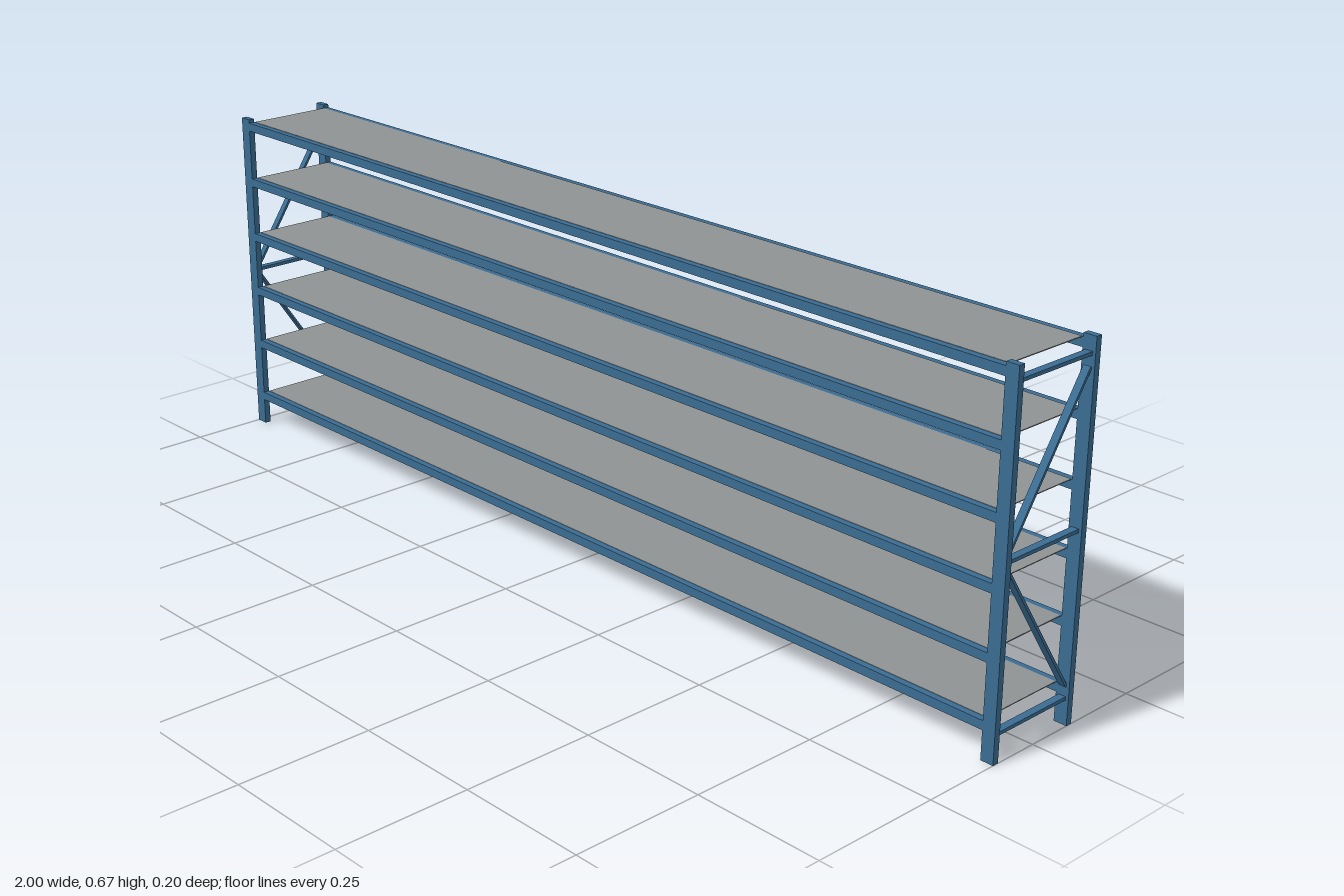
import * as THREE from 'three';

export function createModel() {
  const rack = new THREE.Group();
  rack.name = 'shelvingRack';
  const blue = new THREE.MeshStandardMaterial({ color: 0x3a6c92 });
  blue.name = 'blue steel';
  const grey = new THREE.MeshStandardMaterial({ color: 0x8e9293 });
  grey.name = 'grey shelf';

  const H = 0.667, POST = 0.0125, POST_X = 0.025;
  const POST_Z = 0.1 - POST / 2, INNER = 0.1 - POST;

  function box(parent, name, size, pos, material = blue) {
    const mesh = new THREE.Mesh(new THREE.BoxGeometry(...size), material);
    mesh.name = name;
    mesh.position.set(...pos);
    parent.add(mesh);
    return mesh;
  }

  // Slanted brace between the two posts of an end frame
  function brace(parent, x, yFront, yBack) {
    const dy = yFront - yBack, dz = 2 * INNER;
    const mesh = box(parent, 'diagonalBrace', [0.014, 0.005, Math.hypot(dy, dz)],
      [x, (yFront + yBack) / 2, 0]);
    mesh.rotation.x = -Math.atan2(dy, dz);
  }

  // End frames: two posts, three crossbars, two diagonals
  for (const side of [-1, 1]) {
    const frame = new THREE.Group();
    frame.name = side > 0 ? 'leftEndFrame' : 'rightEndFrame';
    const x = side * (1 - POST_X / 2);
    for (const s of [-1, 1]) {
      box(frame, s > 0 ? 'frontPost' : 'backPost', [POST_X, H, POST], [x, H / 2, s * POST_Z]);
    }
    for (const y of [0.048, 0.343, 0.638]) {
      box(frame, 'crossbar', [0.014, 0.0065, 2 * INNER], [x, y, 0]);
    }
    brace(frame, x, 0.354, 0.616);
    brace(frame, x, 0.332, 0.07);
    rack.add(frame);
  }

  // Shelf levels: a thin panel held between front and back beams
  const span = 2 * (1 - POST_X), beamH = 0.0167;
  for (let i = 0; i < 6; i++) {
    const level = new THREE.Group();
    level.name = 'shelfLevel' + (i + 1);
    const y = 0.07 + i * 0.118;
    box(level, 'shelfPanel', [span - 0.004, 0.0016, 2 * INNER], [0, y, 0], grey);
    for (const s of [-1, 1]) {
      box(level, s > 0 ? 'frontBeam' : 'backBeam', [span, beamH, POST], [0, y - beamH / 2, s * POST_Z]);
    }
    rack.add(level);
  }
  return rack;
}
